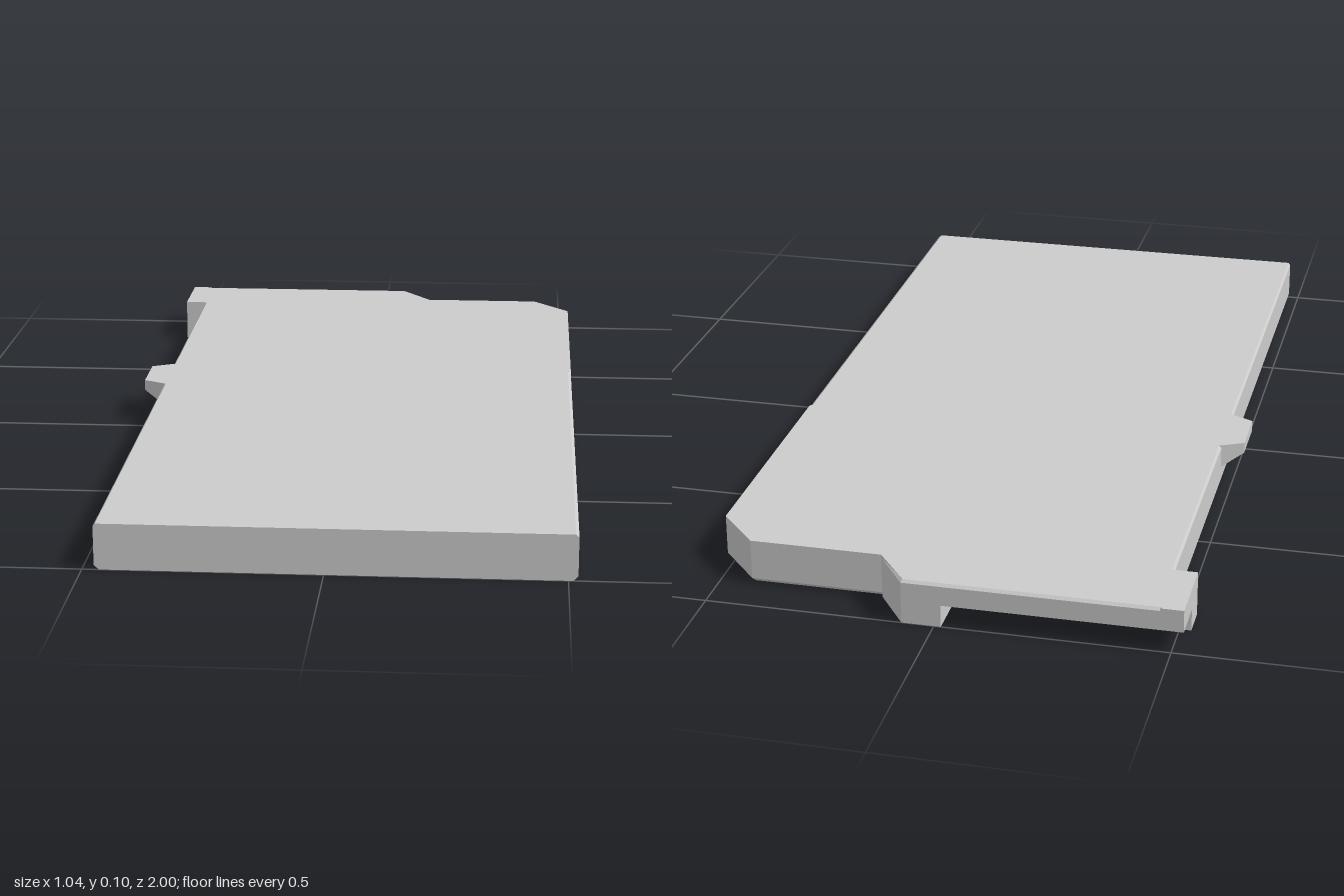
import * as THREE from 'three';

const material = new THREE.MeshStandardMaterial({ color: 0xcccccc, flatShading: true });

// Closed solid from stacked plan outlines. Each ring is a list of [x, y, z],
// running from +x towards +z, with the lowest ring first.
function loft(name, rings) {
  const out = [];
  const tri = (a, b, c) => out.push(...a, ...b, ...c);
  for (let r = 0; r < rings.length - 1; r++) {
    const lo = rings[r], hi = rings[r + 1];
    lo.forEach((a, i) => {
      const j = (i + 1) % lo.length;
      tri(a, hi[i], lo[j]);
      tri(lo[j], hi[i], hi[j]);
    });
  }
  const cap = (ring, up) => {
    const flat = ring.map(([x, , z]) => new THREE.Vector2(x, z));
    for (const [i, j, k] of THREE.ShapeUtils.triangulateShape(flat, [])) {
      const facesDown = THREE.ShapeUtils.area([flat[i], flat[j], flat[k]]) > 0;
      if (facesDown !== up) tri(ring[i], ring[j], ring[k]);
      else tri(ring[i], ring[k], ring[j]);
    }
  };
  cap(rings[0], false);
  cap(rings[rings.length - 1], true);
  const geometry = new THREE.BufferGeometry();
  geometry.setAttribute('position', new THREE.Float32BufferAttribute(out, 3));
  geometry.computeVertexNormals();
  const mesh = new THREE.Mesh(geometry, material);
  mesh.name = name;
  return mesh;
}

const at = (y, plan) => plan.map(([x, z]) => [x, y, z]);
const prism = (name, y0, y1, plan) => loft(name, [at(y0, plan), at(y1, plan)]);

// Slab outline: insets at the -x side, +x side (front stretch only or whole) and back
const slab = (left, rightFront, rightBack, back) => [
  [-0.475 + left, -0.9 + back], [0.43 - rightBack / 2, -0.9 + back],
  [0.52 - rightBack, -0.8 + back / 2], [0.52 - rightBack, -0.2],
  [0.52 - rightFront, -0.2 + 0.005], [0.52 - rightFront, 1], [-0.475 + left, 1],
];

export function createModel() {
  const model = new THREE.Group();
  model.name = 'panel';

  // Main slab with fine chamfers along its long edges
  model.add(loft('slab', [
    at(0, slab(0.01, 0.01, 0.01, 0.01)),
    at(0.01, slab(0, 0, 0, 0)),
    at(0.094, slab(0, 0, 0, 0)),
    at(0.1, slab(0.005, 0.007, 0, 0)),
  ]));

  // Thin lip along the back, widening into the corner tab
  const lip = (inset) => [
    [-0.525, -1], [-0.48, -1], [-0.475, -1 + inset], [0.07 - inset / 2, -1 + inset],
    [0.14, -0.9], [-0.47, -0.9], [-0.47, -0.83], [-0.525, -0.83],
  ];
  model.add(loft('backLip', [at(0.05, lip(0)), at(0.094, lip(0)), at(0.1, lip(0.006))]));

  // Full-height post under the lip beside the step
  model.add(prism('lipPost', 0, 0.05, [[-0.015, -1], [0.07, -1], [0.14, -0.9], [0.14, -0.88], [-0.015, -0.88]]));

  // Lower half of the corner tab
  model.add(prism('cornerTab', 0, 0.05, [[-0.525, -0.9], [-0.46, -0.9], [-0.46, -0.83], [-0.525, -0.83]]));

  // Side tab with a sloping underside
  const tab = [[-0.525, -0.18], [-0.475, -0.205], [-0.468, -0.205], [-0.468, -0.03], [-0.475, -0.03], [-0.525, -0.055]];
  model.add(loft('sideTab', [
    tab.map(([x, z]) => [x, x < -0.5 ? 0.075 : 0.045, z]),
    at(0.1, tab),
  ]));

  return model;
}
